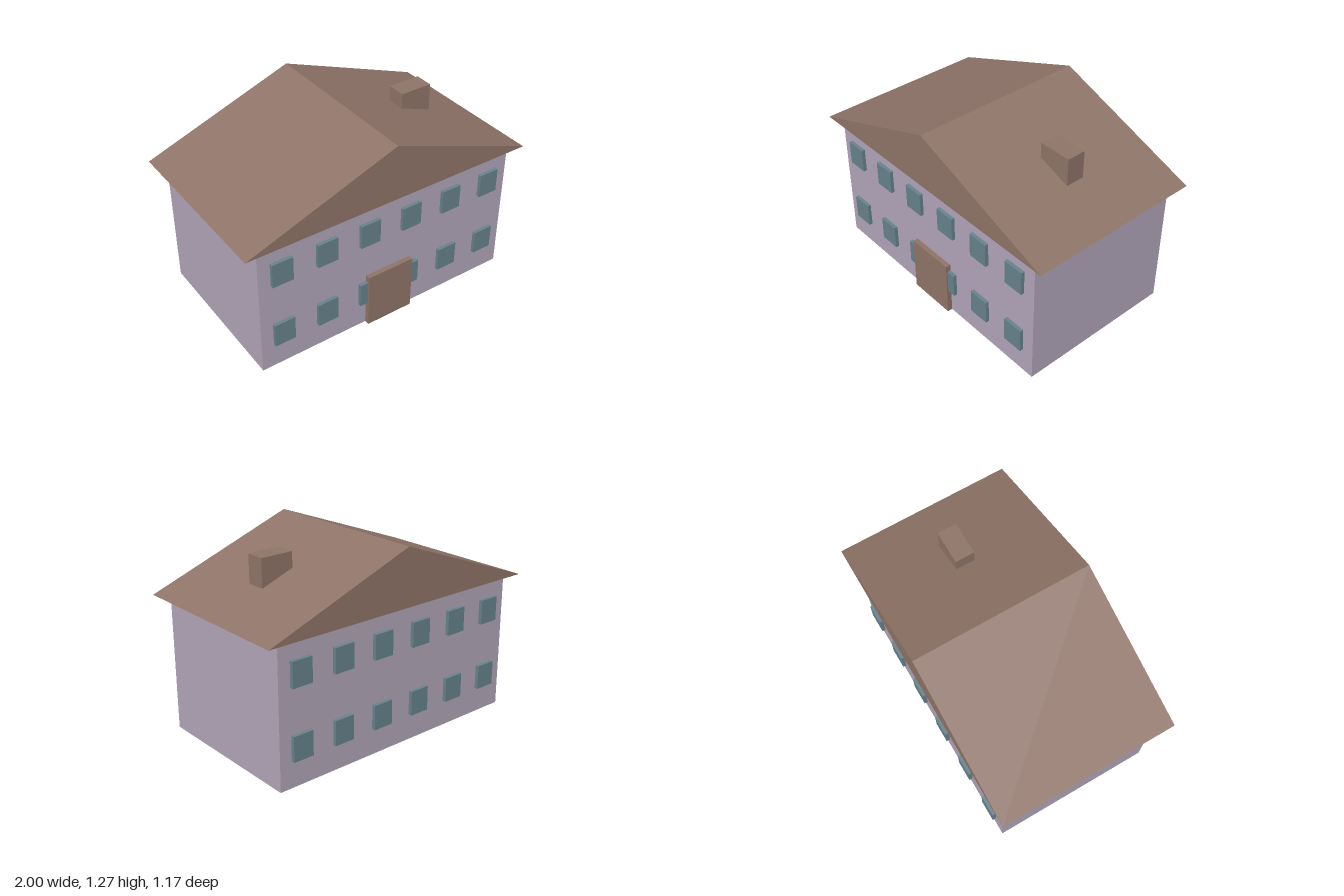
import * as THREE from 'three';

export function createModel() {
  const house = new THREE.Group();
  house.name = 'house';

  const material = (name, color) => {
    const m = new THREE.MeshStandardMaterial({ color });
    m.name = name;
    return m;
  };
  const lilac = material('lilac wall', 0xb1a5b9);
  const brown = material('brown', 0x8f7468);
  const blueGrey = material('blue grey glass', 0x67828d);

  // Box given by its lower and upper corners
  const box = (name, mat, [x0, y0, z0], [x1, y1, z1], parent = house) => {
    const mesh = new THREE.Mesh(new THREE.BoxGeometry(x1 - x0, y1 - y0, z1 - z0), mat);
    mesh.position.set((x0 + x1) / 2, (y0 + y1) / 2, (z0 + z1) / 2);
    mesh.name = name;
    parent.add(mesh);
    return mesh;
  };

  // Main block
  box('walls', lilac, [-0.907, 0, -0.533], [0.907, 0.9, 0.537]);

  // Gable roof: a solid triangular prism with the ridge along z
  const gable = new THREE.Shape([
    new THREE.Vector2(-1, 0.9),
    new THREE.Vector2(1, 0.9),
    new THREE.Vector2(0, 1.27),
  ]);
  const roof = new THREE.Mesh(
    new THREE.ExtrudeGeometry(gable, { depth: 1.17, bevelEnabled: false }),
    brown
  );
  roof.position.z = -0.585;
  roof.name = 'roof';
  house.add(roof);

  // Chimney on the left slope, sunk into the roof
  box('chimney', brown, [0.435, 1.0, -0.063], [0.655, 1.21, 0.063]);

  // Front door
  box('door', brown, [-0.165, 0, 0.53], [0.163, 0.375, 0.57]);

  // Two rows of six windows on the front and the back
  const windows = new THREE.Group();
  windows.name = 'windows';
  house.add(windows);
  for (const [side, z0, z1] of [['front', 0.53, 0.56], ['back', -0.557, -0.527]]) {
    for (const [floor, y] of [['Lower', 0.17], ['Upper', 0.62]]) {
      for (let i = 0; i < 6; i++) {
        const x = (i - 2.5) * 0.3025;
        box(`${side}${floor}Window${i + 1}`, blueGrey,
          [x - 0.069, y, z0], [x + 0.069, y + 0.16, z1], windows);
      }
    }
  }

  return house;
}
